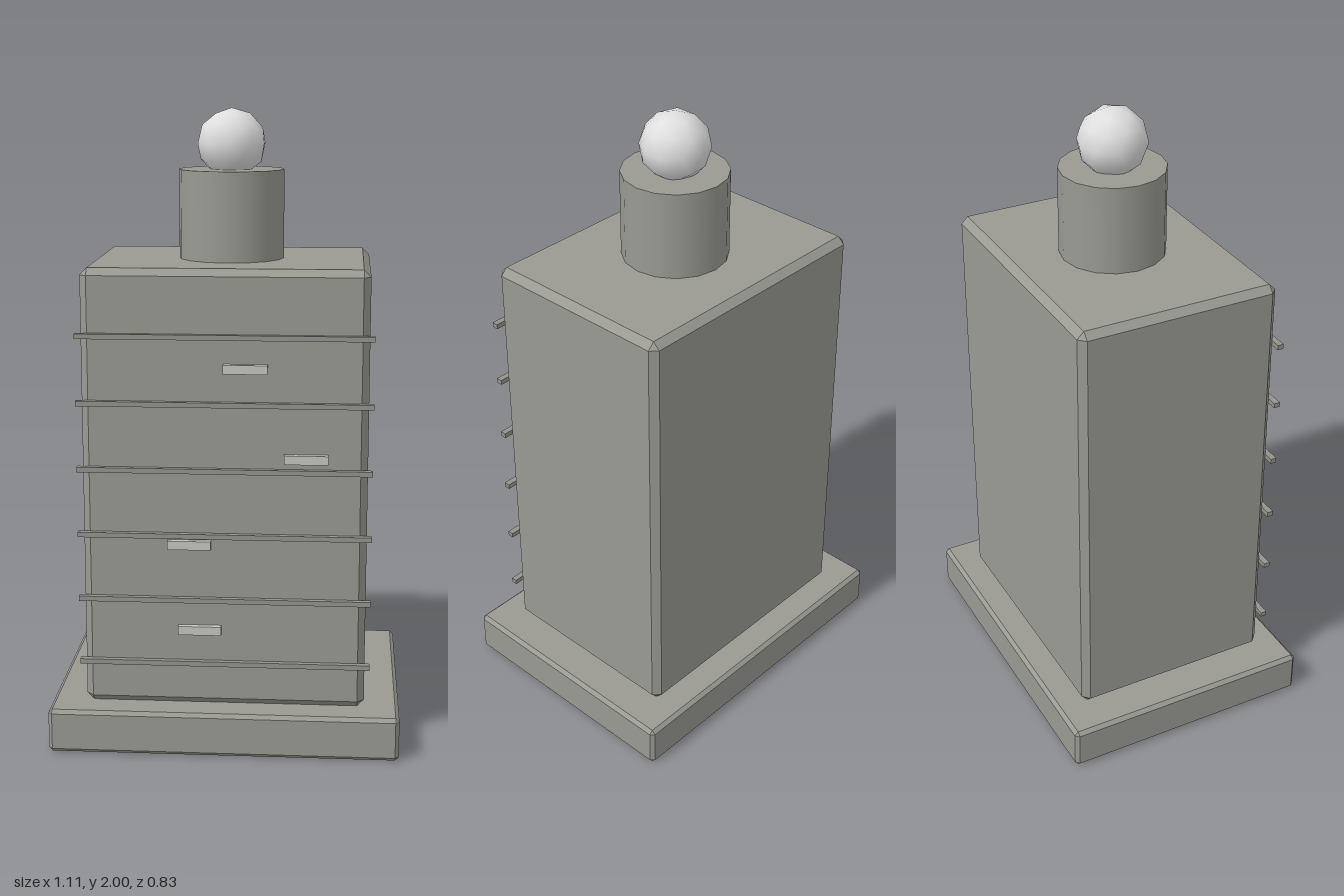
import * as THREE from 'three';
import { ConvexGeometry } from 'three/addons/geometries/ConvexGeometry.js';

const material = (name, color) => {
  const m = new THREE.MeshStandardMaterial({ color });
  m.name = name;
  return m;
};

// Box with a single flat chamfer of size c along every edge
function chamferedBox(w, h, d, c) {
  const points = [];
  for (const x of [-1, 1]) for (const y of [-1, 1]) for (const z of [-1, 1]) {
    for (const inset of [[0, c, c], [c, 0, c], [c, c, 0]]) {
      points.push(new THREE.Vector3(
        x * (w / 2 - inset[0]), y * (h / 2 - inset[1]), z * (d / 2 - inset[2])));
    }
  }
  return new ConvexGeometry(points);
}

export function createModel() {
  const model = new THREE.Group();
  model.name = 'tower';
  const concrete = material('concrete grey', 0x9a9a93);
  const trim = material('trim grey', 0x94948e);
  const panel = material('pale panel grey', 0xc6c6c2);
  const white = material('globe white', 0xe0e0e0);

  const add = (name, geometry, mat, x, y, z) => {
    const mesh = new THREE.Mesh(geometry, mat);
    mesh.name = name;
    mesh.position.set(x, y, z);
    model.add(mesh);
    return mesh;
  };

  // Plinth and main block
  add('base', chamferedBox(1.106, 0.14, 0.83, 0.012), concrete, 0, 0.07, 0);
  add('body', chamferedBox(0.884, 1.39, 0.66, 0.022), concrete, 0, 0.835, 0);

  // Round turret with a faceted, smooth-shaded globe
  add('turret', new THREE.CylinderGeometry(0.167, 0.167, 0.28, 16), concrete, 0, 1.67, 0);
  const globe = new THREE.IcosahedronGeometry(0.11, 1);
  globe.rotateZ(-Math.atan(2 / (1 + Math.sqrt(5)))); // a vertex points straight up
  add('globe', globe, white, 0, 1.89, 0);

  // Horizontal ledges across the front
  for (let i = 0; i < 6; i++) {
    add('ledge', new THREE.BoxGeometry(0.914, 0.016, 0.02), trim, 0, 0.282 + i * 0.2085, 0.338);
  }

  // Small pale panels between the ledges
  for (const [x, y] of [[0.065, 1.228], [0.253, 0.949], [-0.109, 0.671], [-0.077, 0.393]]) {
    add('panel', new THREE.BoxGeometry(0.136, 0.028, 0.02), panel, x, y, 0.342);
  }

  return model;
}
